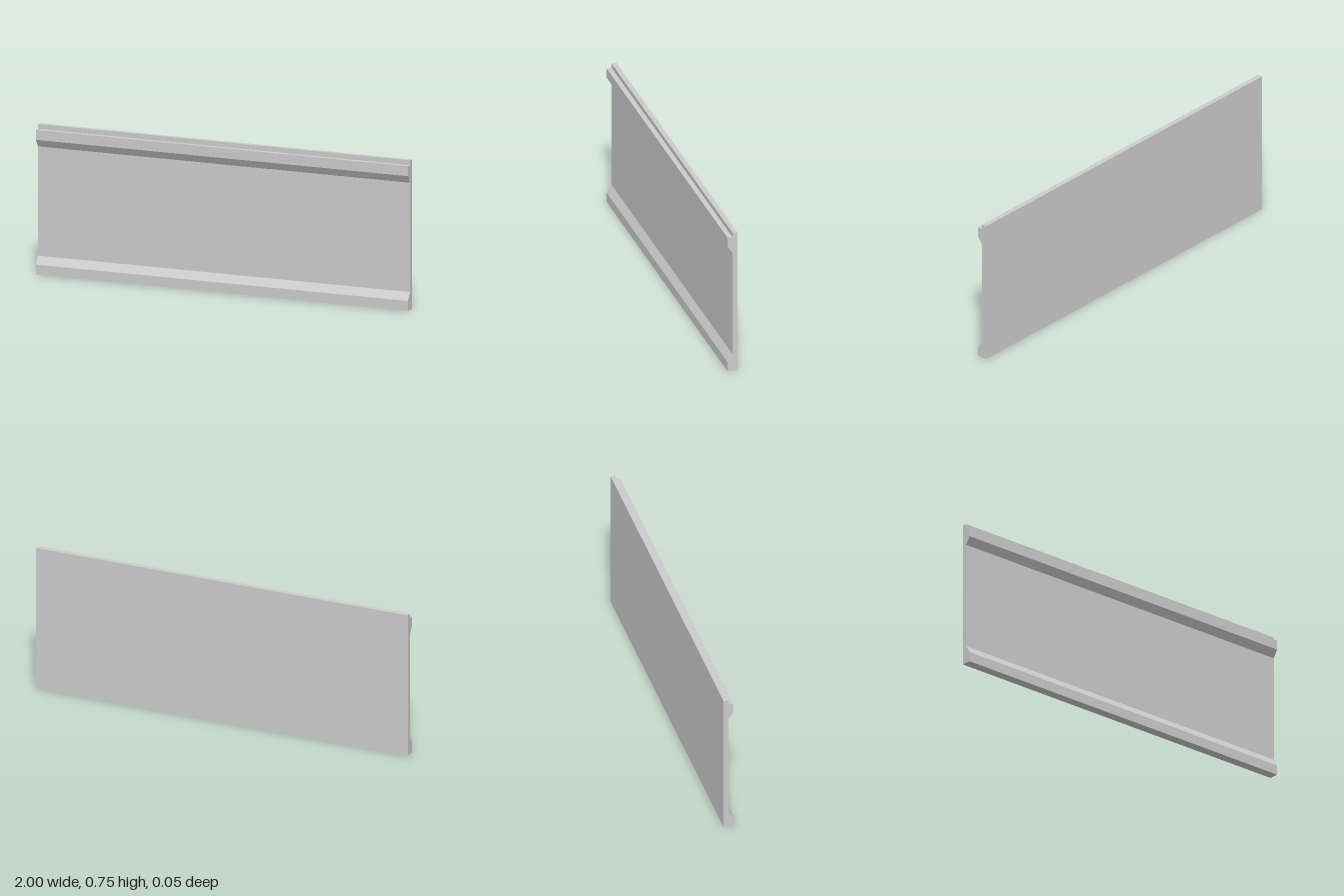
import * as THREE from 'three';

export function createModel() {
  const group = new THREE.Group();
  group.name = 'wallPanel';
  const material = new THREE.MeshStandardMaterial({ color: 0xcccccc, flatShading: true });

  const length = 2;
  const back = -0.025, face = 0, front = 0.025;

  // Side profile as (z, y): bottom rail, recessed face, top rail and rear lip
  const profile = new THREE.Shape([
    [back, 0], [front, 0], [front, 0.05], [face, 0.09],
    [face, 0.638], [front, 0.676], [front, 0.726], [face, 0.726],
    [face, 0.75], [back, 0.75],
  ].map(([z, y]) => new THREE.Vector2(z, y)));

  // Run the profile along x, centred
  const geometry = new THREE.ExtrudeGeometry(profile, { depth: length, bevelEnabled: false });
  geometry.rotateY(-Math.PI / 2);
  geometry.translate(length / 2, 0, 0);

  const panel = new THREE.Mesh(geometry, material);
  panel.name = 'panel';
  group.add(panel);
  return group;
}
